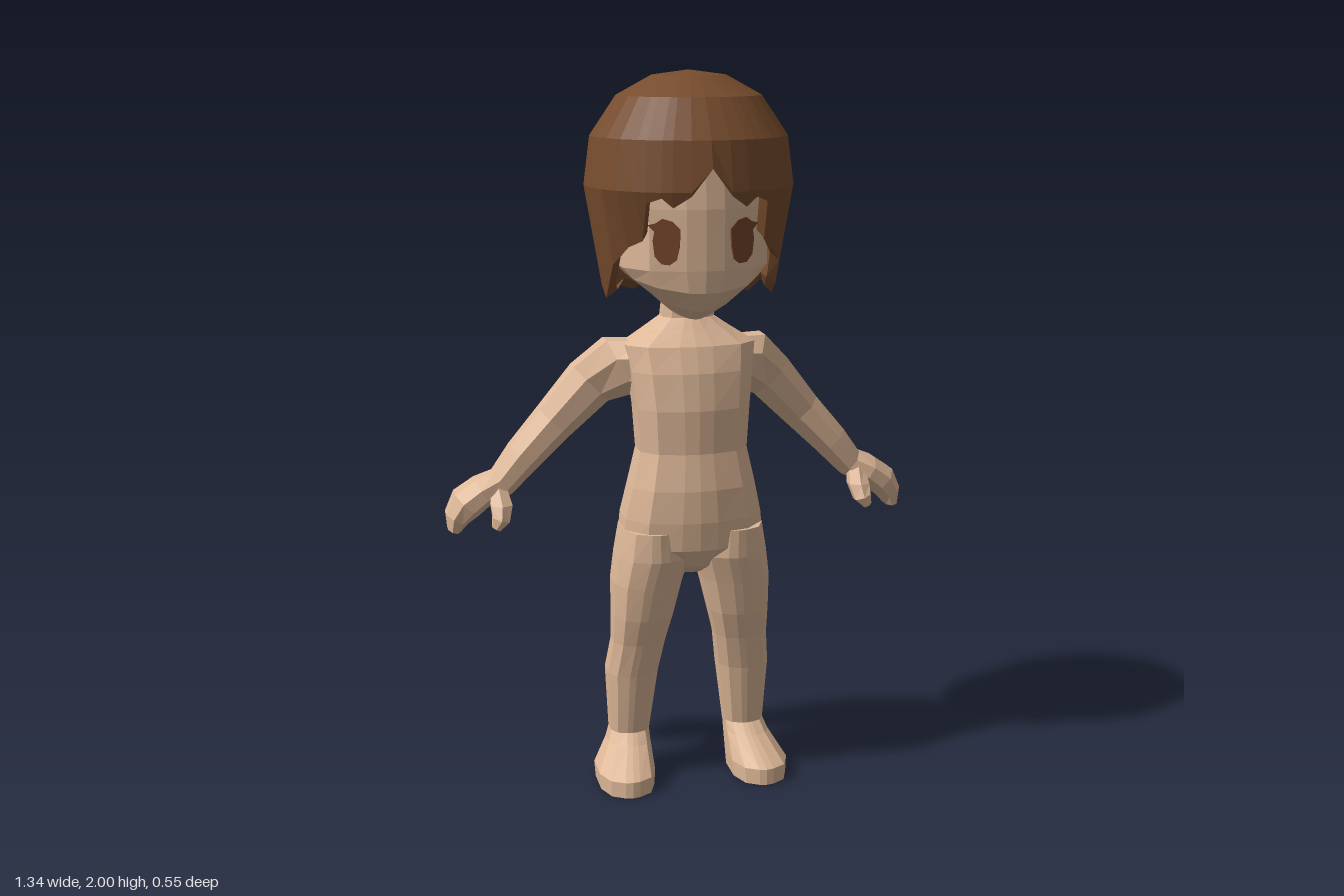
import * as THREE from 'three';

const V = (x, y, z) => new THREE.Vector3(x, y, z);
const skin = new THREE.MeshStandardMaterial({ color: 0xdeb898, flatShading: true });
const hairBrown = new THREE.MeshStandardMaterial({ color: 0x774c2d, flatShading: true, side: THREE.DoubleSide });
const eyeBrown = new THREE.MeshStandardMaterial({ color: 0x75452a, flatShading: true });
skin.name = 'skin';
hairBrown.name = 'hair brown';
eyeBrown.name = 'eye brown';

// Joins closed cross-sections into a faceted surface that faces outward.
function loft(name, rings, material, capped = true) {
  const n = rings[0].length;
  const tris = [];
  const cap = (ring, flip) => {
    const c = V(0, 0, 0);
    ring.forEach((p) => c.addScaledVector(p, 1 / n));
    for (let i = 0; i < n; i++) {
      const a = ring[i], b = ring[(i + 1) % n];
      tris.push(flip ? [c, b, a] : [c, a, b]);
    }
  };
  for (let k = 0; k + 1 < rings.length; k++) {
    for (let i = 0; i < n; i++) {
      const j = (i + 1) % n;
      const [a, b, c, d] = [rings[k][i], rings[k][j], rings[k + 1][j], rings[k + 1][i]];
      tris.push([a, b, c], [a, c, d]);
    }
  }
  if (capped) {
    cap(rings[0], true);
    cap(rings[rings.length - 1], false);
  }
  // A negative enclosed volume means the faces point inward.
  const origin = rings[0][0].clone();
  let volume = 0;
  for (const [a, b, c] of tris) {
    volume += a.clone().sub(origin).dot(b.clone().sub(origin).cross(c.clone().sub(origin)));
  }
  if (volume < 0) tris.forEach((t) => t.reverse());
  const geometry = new THREE.BufferGeometry().setFromPoints(tris.flat());
  geometry.computeVertexNormals();
  const mesh = new THREE.Mesh(geometry, material);
  mesh.name = name;
  return mesh;
}

// Squarish horizontal section; front and back have their own depths.
const HALF = [[0, 1], [0.25, 0.97], [0.7, 0.8], [0.97, 0.35], [0.97, -0.35], [0.7, -0.8], [0.25, -0.97], [0, -1]];
const OUTLINE = [...HALF, ...HALF.slice(1, -1).reverse().map(([x, z]) => [-x, z])];
function section(y, x0, x1, front, back, lift = 0) {
  const cz = (front + back) / 2, rz = (front - back) / 2;
  return OUTLINE.map(([u, w]) => V((x0 + x1) / 2 + u * (x1 - x0) / 2, y + lift * u * u, cz + w * rz));
}

function makeHead() {
  const rows = [ // y, half width, front, back, rise towards the jaw corners
    [1.345, 0.06, 0.09, -0.07, 0.02],
    [1.375, 0.105, 0.15, -0.09, 0.03],
    [1.43, 0.175, 0.2, -0.13, 0.03],
    [1.49, 0.205, 0.205, -0.18, 0],
    [1.65, 0.205, 0.205, -0.2, 0],
    [1.78, 0.2, 0.19, -0.2, 0],
    [1.88, 0.15, 0.14, -0.15, 0],
    [1.93, 0.07, 0.07, -0.07, 0],
  ];
  return loft('head', rows.map(([y, r, f, b, l]) => section(y, -r, r, f, b, l)), skin);
}

function makeTorso() {
  const rows = [ // y, half width, front, back
    [0.62, 0.05, 0.05, -0.05],
    [0.65, 0.11, 0.1, -0.09],
    [0.71, 0.205, 0.145, -0.12],
    [0.79, 0.198, 0.152, -0.12],
    [0.88, 0.178, 0.15, -0.1],
    [0.98, 0.155, 0.132, -0.08],
    [1.1, 0.163, 0.135, -0.09],
    [1.2, 0.175, 0.12, -0.105],
    [1.27, 0.185, 0.095, -0.11],
    [1.31, 0.12, 0.06, -0.1],
    [1.34, 0.075, 0.035, -0.085],
    [1.44, 0.065, 0.03, -0.07],
  ];
  return loft('torsoAndNeck', rows.map(([y, r, f, b]) => section(y, -r, r, f, b)), skin);
}

function makeLeg(s, side) {
  const rows = [ // y, inner x, outer x, front, back
    [0.76, 0.02, 0.2, 0.14, -0.11],
    [0.68, 0.004, 0.214, 0.14, -0.115],
    [0.6, 0.028, 0.225, 0.122, -0.1],
    [0.5, 0.052, 0.225, 0.1, -0.08],
    [0.42, 0.072, 0.225, 0.075, -0.075],
    [0.32, 0.088, 0.237, 0.052, -0.11],
    [0.13, 0.113, 0.227, 0.02, -0.098],
  ];
  return loft(side + 'Leg', rows.map(([y, a, b, f, k]) => section(y, s * a, s * b, f, k)), skin);
}

function makeFoot(s, side) {
  const rows = [
    [0.14, 0.113, 0.227, 0.02, -0.098],
    [0.11, 0.113, 0.238, 0.055, -0.1],
    [0.045, 0.112, 0.278, 0.152, -0.105],
    [0, 0.115, 0.275, 0.155, -0.1],
  ];
  return loft(side + 'Foot', rows.map(([y, a, b, f, k]) => section(y, s * a, s * b, f, k)), skin);
}

// Tapered limb along a path in x and y; each stop is x, y, z, thickness, depth.
function limb(name, s, stops, sides) {
  const rings = stops.map(([x, y, z, thick, deep], i) => {
    const p = stops[Math.max(i - 1, 0)], q = stops[Math.min(i + 1, stops.length - 1)];
    const normal = V(p[1] - q[1], q[0] - p[0], 0).normalize();
    return Array.from({ length: sides }, (_, k) => {
      const a = (k + 0.5) / sides * Math.PI * 2;
      const u = Math.cos(a) * thick * 1.06, w = Math.sin(a) * deep * 1.06;
      return V(s * (x + normal.x * u), y + normal.y * u, z + w);
    });
  });
  return loft(name, rings, skin);
}

function makeArm(s, side) {
  const arm = new THREE.Group();
  arm.name = side + 'Arm';
  arm.add(limb(side + 'ArmAndHand', s, [
    [0.12, 1.21, -0.02, 0.07, 0.08],
    [0.19, 1.2, -0.055, 0.085, 0.08],
    [0.26, 1.145, -0.11, 0.07, 0.073],
    [0.36, 1.035, -0.127, 0.058, 0.065],
    [0.45, 0.94, -0.125, 0.05, 0.06],
    [0.51, 0.87, -0.123, 0.042, 0.052],
    [0.565, 0.845, -0.13, 0.042, 0.07],
    [0.61, 0.81, -0.138, 0.046, 0.075],
    [0.638, 0.77, -0.138, 0.034, 0.06],
    [0.647, 0.735, -0.135, 0.018, 0.042],
  ], 8));
  arm.add(limb(side + 'Thumb', s, [
    [0.525, 0.865, -0.1, 0.025, 0.028],
    [0.52, 0.82, -0.06, 0.032, 0.03],
    [0.525, 0.785, -0.035, 0.026, 0.024],
    [0.54, 0.76, -0.03, 0.013, 0.014],
  ], 6));
  return arm;
}

// Bob haircut: a dome whose hem follows heights listed by angle from the front.
function makeHair() {
  const hem = [
    [0, 1.76], [11, 1.69], [21, 1.66], [27, 1.685], [36, 1.67], [42, 1.57], [54, 1.55], [66, 1.5], [78, 1.43],
    [86, 1.4], [98, 1.43], [110, 1.42], [121, 1.385], [134, 1.41], [150, 1.39], [165, 1.42], [180, 1.385],
  ];
  const around = [...hem, ...hem.slice(1, -1).reverse().map(([a, y]) => [360 - a, y])];
  const point = (angle, y, r, scale = 1) => {
    const a = angle * Math.PI / 180;
    return V(Math.sin(a) * r * scale, y, Math.cos(a) * r * 0.965 * scale);
  };
  const dome = [[2, 0.004], [1.987, 0.1], [1.935, 0.195], [1.83, 0.266]];
  const rings = dome.map(([y, r]) => around.map(([a]) => point(a, y, r)));
  for (const level of [1.7, 1.55, 0]) {
    rings.push(around.map(([a, h]) => {
      const y = Math.max(level, h);
      return point(a, y, 0.283 - Math.max(0, 1.7 - y) * (a > 60 && a < 300 ? 0.17 : 0.3));
    }));
  }
  // Inner lip gives the hem some thickness.
  const edge = rings[rings.length - 1];
  rings.push(edge.map((p) => V(p.x * 0.9, p.y + 0.02, p.z * 0.9)));
  return loft('hair', rings, hairBrown, false);
}

// Thin eye plate lying on the slanted front of the face.
function makeEye(s, side) {
  const points = [
    [-0.026, -0.045], [-0.008, -0.058], [0.014, -0.056], [0.032, -0.036], [0.037, 0.005], [0.033, 0.028],
    [0.05, 0.045], [0.03, 0.05], [0.012, 0.062], [-0.014, 0.055], [-0.036, 0.034], [-0.034, -0.01],
  ].map(([x, y]) => new THREE.Vector2(s * x, y));
  const geometry = new THREE.ExtrudeGeometry(new THREE.Shape(points), { depth: 0.005, bevelEnabled: false });
  const eye = new THREE.Mesh(geometry, eyeBrown);
  eye.position.set(s * 0.1, 1.565, 0.1815);
  eye.rotation.y = s * 0.36;
  eye.name = side + 'Eye';
  return eye;
}

export function createModel() {
  const model = new THREE.Group();
  model.name = 'figure';
  model.add(makeHead(), makeHair(), makeTorso());
  for (const [s, side] of [[1, 'left'], [-1, 'right']]) {
    model.add(makeEye(s, side), makeArm(s, side), makeLeg(s, side), makeFoot(s, side));
  }
  return model;
}
